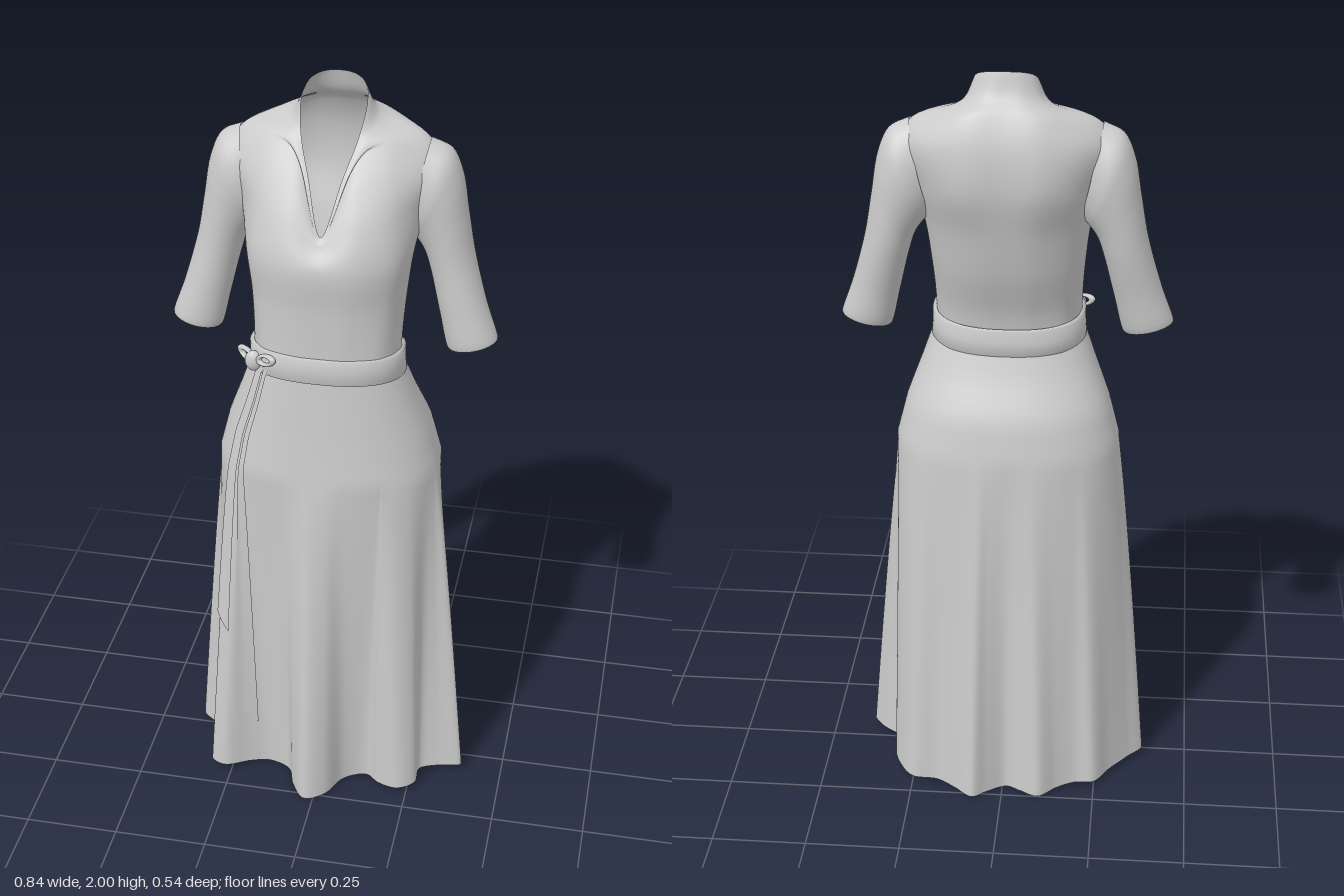
import * as THREE from 'three';

const V = (x, y, z) => new THREE.Vector3(x, y, z);
const cloth = new THREE.MeshStandardMaterial({ color: 0xcccccc, roughness: 0.8, side: THREE.DoubleSide });

// Skin a list of rings (bottom to top) with shared vertices for smooth normals
function skin(name, rings, closed = true) {
  const n = rings[0].length, pos = [], idx = [];
  rings.forEach(r => r.forEach(p => pos.push(p.x, p.y, p.z)));
  for (let j = 0; j < rings.length - 1; j++) {
    for (let i = 0; i < (closed ? n : n - 1); i++) {
      const k = (i + 1) % n, a = j * n + i, b = j * n + k;
      idx.push(a, b, b + n, a, b + n, a + n);
    }
  }
  const g = new THREE.BufferGeometry();
  g.setAttribute('position', new THREE.Float32BufferAttribute(pos, 3));
  g.setIndex(idx);
  g.computeVertexNormals();
  const m = new THREE.Mesh(g, cloth);
  m.name = name;
  return m;
}

// Smoothly interpolate extra rings between key rings
function refine(rings, steps) {
  const cols = rings[0].map((_, i) =>
    new THREE.CatmullRomCurve3(rings.map(r => r[i]), false, 'centripetal').getPoints(steps));
  return Array.from({ length: steps + 1 }, (_, j) => cols.map(c => c[j]));
}

const closedCurve = (pts, n) => {
  const c = new THREE.CatmullRomCurve3(pts, true, 'centripetal');
  return Array.from({ length: n }, (_, i) => c.getPoint(i / n));
};

// Slightly squared body oval: half width, front z, back z, at an angle from +z towards +x
function oval(a, y, hw, front, back) {
  const p = 2.35, s = Math.sin(a), c = Math.cos(a), d = (front - back) / 2;
  const r = Math.pow(Math.pow(Math.abs(s) / hw, p) + Math.pow(Math.abs(c) / d, p), -1 / p);
  return V(r * s, y, (front + back) / 2 + r * c);
}
const ovalRing = (n, ...o) => Array.from({ length: n }, (_, i) => oval(i / n * Math.PI * 2, ...o));

// Hem outline with its deep folds, front centre round to the left and back
const hem = new THREE.CatmullRomCurve3([
  [-.025, .27], [.03, .24], [.07, .17], [.13, .145], [.17, .175], [.225, .19], [.27, .16], [.275, .1],
  [.32, .08], [.388, .065], [.36, .02], [.3, -.03], [.31, -.09], [.29, -.15], [.25, -.2], [.18, -.205],
  [.13, -.235], [.08, -.27], [.04, -.24], [-.01, -.21], [-.05, -.23], [-.1, -.255], [-.15, -.215],
  [-.2, -.19], [-.25, -.187], [-.29, -.13], [-.34, -.07], [-.38, -.02], [-.31, .04], [-.28, .1],
  [-.31, .17], [-.27, .19], [-.2, .155], [-.15, .14], [-.09, .16], [-.065, .22],
].map(([x, z]) => V(x, 0, z)), true, 'centripetal');
const HEM_COUNT = 36;

// Hip shape as half width, front z, back z, from the hip up to the waist
const hip = new THREE.CatmullRomCurve3([
  V(.29, .195, -.2), V(.264, .185, -.18), V(.226, .177, -.13), V(.19, .17, -.09)]);

function skirtPoint(t, y, lift = 0) {
  const h = hem.getPoint(((t % 1) + 1) % 1), a = Math.atan2(h.x, h.z);
  const s = hip.getPoint(THREE.MathUtils.clamp((y - 1) / .3, 0, 1));
  const p = oval(a, y, s.x + lift, s.y + lift, s.z - lift);
  if (y < 1) {
    const w = Math.pow(1 - y, .85);
    p.x += (h.x + Math.sin(a) * lift - p.x) * w;
    p.z += (h.z + Math.cos(a) * lift - p.z) * w;
    p.y += .02 * w * Math.min(1, Math.abs(h.x) / .38);
  }
  return p;
}

function skirt() {
  const rings = [];
  for (let j = 0; j <= 52; j++) {
    rings.push(Array.from({ length: 288 }, (_, i) => skirtPoint(i / 288, 1.3 * j / 52)));
  }
  return skin('skirt', rings);
}

// Hanging sash end that follows the skirt
function tie(name, mid, halfWidth, bottom) {
  const rings = [];
  for (let j = 0; j <= 40; j++) {
    const row = [];
    for (let i = 0; i <= 8; i++) {
      const u = i / 4 - 1, y = bottom + (1.3 - bottom) * j / 40 + (1 - j / 40) * -.025 * u;
      row.push(skirtPoint((mid + u * halfWidth) / HEM_COUNT, y, .009));
    }
    rings.push(row);
  }
  return skin(name, rings, false);
}

function bodice() {
  // Upper key rings: half outlines from front centre to back centre, mirrored
  const upper = [
    [[0, 1.645, .15], [.09, 1.7, .13], [.17, 1.71, .085], [.235, 1.7, -.04], [.19, 1.71, -.14], [.1, 1.72, -.198], [0, 1.72, -.2]],
    [[0, 1.658, .143], [.08, 1.78, .085], [.17, 1.8, .045], [.268, 1.8, -.05], [.205, 1.82, -.145], [.1, 1.83, -.193], [0, 1.83, -.195]],
    [[0, 1.665, .137], [.08, 1.85, .035], [.15, 1.872, .005], [.225, 1.87, -.06], [.165, 1.885, -.125], [.09, 1.9, -.165], [0, 1.905, -.165]],
    [[0, 1.668, .133], [.057, 1.81, .066], [.092, 1.885, .012], [.108, 1.912, -.06], [.09, 1.928, -.105], [.05, 1.94, -.13], [0, 1.945, -.133]],
    [[0, 1.67, .13], [.042, 1.8, .07], [.07, 1.885, .015], [.08, 1.955, -.045], [.068, 1.985, -.085], [.04, 1.997, -.107], [0, 2, -.115]],
  ].map(h => {
    const left = h.map(p => V(...p));
    const right = left.slice(1, 6).reverse().map(p => V(-p.x, p.y, p.z));
    return closedCurve([...left, ...right], 144);
  });
  const lower = [
    [1.3, .188, .168, -.085], [1.37, .188, .168, -.1], [1.48, .195, .17, -.14], [1.6, .21, .176, -.172],
  ].map(o => closedCurve(ovalRing(12, ...o), 144));
  return skin('bodice', refine([...lower, ...upper], 64));
}

// Sleeve rings: outer x, y, inner x, y, centre z, half depth
function sleeve(side) {
  const rings = [
    [.412, 1.352, .302, 1.327, -.04, .048], [.42, 1.345, .295, 1.315, -.04, .056],
    [.388, 1.44, .27, 1.41, -.048, .062], [.352, 1.57, .243, 1.52, -.06, .07],
    [.332, 1.68, .225, 1.575, -.063, .076], [.314, 1.78, .205, 1.605, -.064, .082],
    [.286, 1.84, .2, 1.61, -.063, .084], [.235, 1.866, .185, 1.63, -.06, .075],
  ].map(([ox, oy, ix, iy, zc, rz]) => Array.from({ length: 48 }, (_, i) => {
    const a = i / 48 * Math.PI * 2, s = Math.sin(a), u = s * side;
    return V(side * (ox + ix) / 2 + s * (ox - ix) / 2, (oy + iy) / 2 + u * (oy - iy) / 2, zc + Math.cos(a) * rz);
  }));
  return skin(side > 0 ? 'leftSleeve' : 'rightSleeve', refine(rings, 42));
}

// Sash band, dipping slightly towards the back
function waistband() {
  const rings = [[1.285, .186, .168, -.09], [1.288, .2, .178, -.108], [1.32, .197, .178, -.103],
    [1.352, .197, .177, -.103], [1.356, .186, .168, -.095]].map(o => {
    const ring = ovalRing(96, ...o);
    ring.forEach(p => { p.y -= .03 * (.175 - p.z) / .28; });
    return ring;
  });
  return skin('waistband', rings);
}

// Knot with two short flat loops
function knot() {
  const g = new THREE.Group();
  g.name = 'sashKnot';
  const ball = new THREE.Mesh(new THREE.SphereGeometry(1, 20, 14), cloth);
  ball.name = 'knot';
  ball.scale.set(.022, .028, .016);
  g.add(ball);
  for (const [name, x, y, z, tilt] of [['outerLoop', -.016, .012, -.008, -.3], ['innerLoop', .036, .016, .022, .35]]) {
    const loop = new THREE.Mesh(new THREE.TorusGeometry(.022, .008, 10, 28), cloth);
    loop.name = name;
    loop.position.set(x, y, z);
    loop.rotation.set(0, -.6, tilt);
    loop.scale.set(1.2, .55, 1);
    g.add(loop);
  }
  g.position.set(-.172, 1.312, .13);
  return g;
}

export function createModel() {
  const dress = new THREE.Group();
  dress.name = 'wrapDress';
  dress.add(skirt(), bodice(), sleeve(1), sleeve(-1), waistband(), knot(),
    tie('longTie', 32.1, .55, .17), tie('shortTie', 30.6, .5, .5));
  return dress;
}
